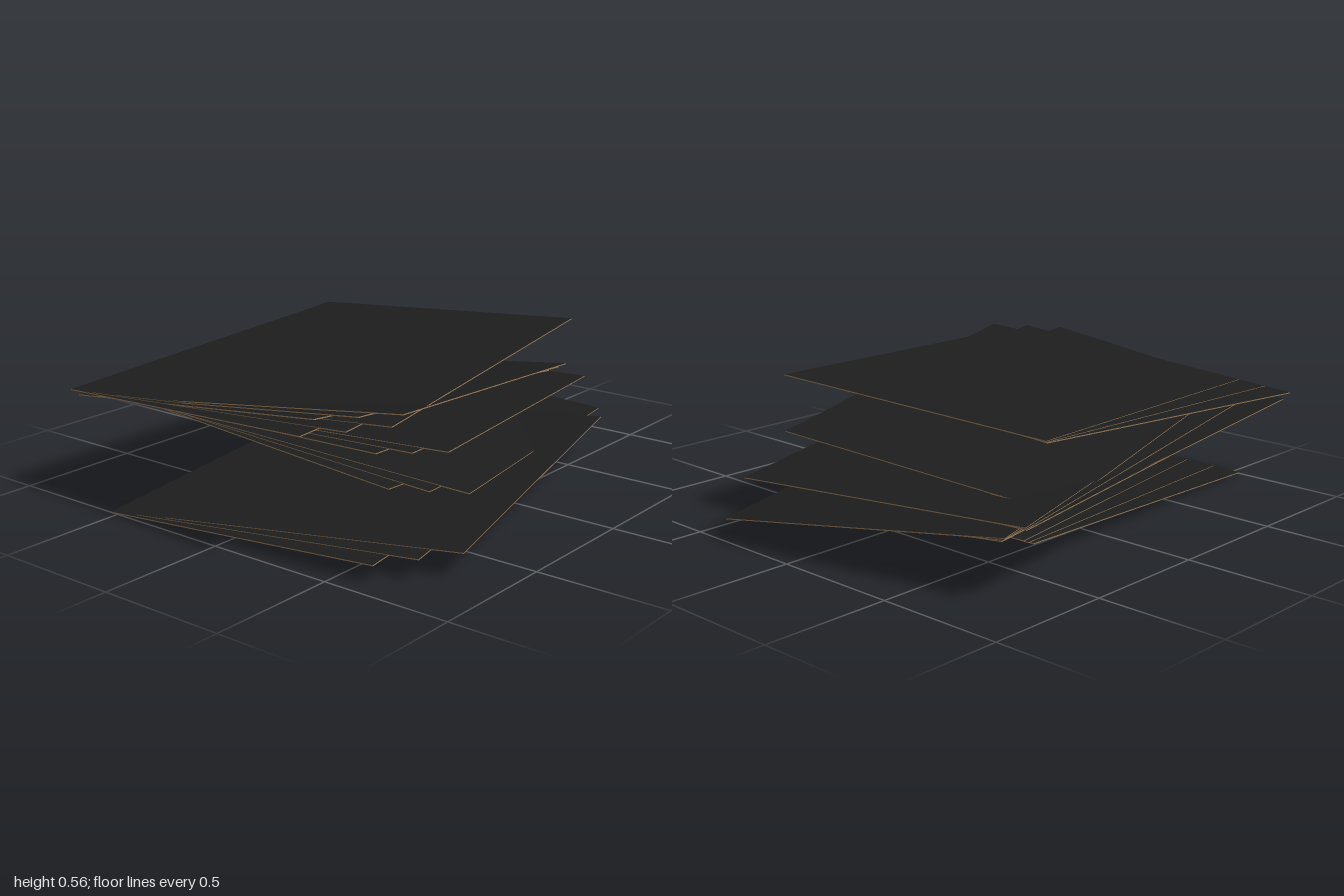
import * as THREE from 'three';

const WIDTH = 1.17, LENGTH = 1.43, THICKNESS = 0.004;

// Each fan: first and last sheet as [x, z, turn in degrees, height at origin],
// and the slope of the fan along x and z.
const SHEETS_PER_FAN = 3;
const FANS = [
  { name: 'bottomFan', from: [-0.005, 0.245, 4.4, 0.087], to: [0.115, 0.13, 12.7, 0.092], slope: [0.047, -0.06] },
  { name: 'secondFan', from: [-0.175, -0.08, 3.4, 0.195], to: [-0.077, -0.175, 12.5, 0.2], slope: [-0.1, 0.078] },
  { name: 'middleFan', from: [-0.21, -0.025, 4.5, 0.292], to: [-0.12, -0.115, 12.2, 0.297], slope: [0, 0.063] },
  { name: 'fourthFan', from: [-0.205, 0.19, 0, 0.378], to: [-0.098, 0.11, 10, 0.385], slope: [0.109, 0.1] },
  { name: 'topFan', from: [-0.2, 0.23, -1.5, 0.497], to: [-0.085, 0.13, 7.8, 0.501], slope: [0.05, -0.055] },
];

export function createModel() {
  const black = new THREE.MeshStandardMaterial({ color: 0x1d1d1d });
  black.name = 'black face';
  const brown = new THREE.MeshStandardMaterial({ color: 0x987a57 });
  brown.name = 'brown backing';
  // Black on the upper face, brown on the edges and underside
  const faces = [brown, brown, black, brown, brown, brown];

  // A thin sheet turned about y and sheared onto a sloping plane
  function sheet([x, z, degrees, height], [sx, sz]) {
    const a = THREE.MathUtils.degToRad(degrees), c = Math.cos(a), s = Math.sin(a);
    const across = new THREE.Vector3(c, sx * c - sz * s, -s);
    const along = new THREE.Vector3(s, sx * s + sz * c, c);
    const up = along.clone().cross(across).normalize();
    const matrix = new THREE.Matrix4().makeBasis(across, up, along);
    matrix.setPosition(x, height + sx * x + sz * z, z);
    const geometry = new THREE.BoxGeometry(WIDTH, THICKNESS, LENGTH).applyMatrix4(matrix);
    return new THREE.Mesh(geometry, faces);
  }

  const model = new THREE.Group();
  model.name = 'sheetPile';
  for (const { name, from, to, slope } of FANS) {
    const group = new THREE.Group();
    group.name = name;
    for (let i = 0; i < SHEETS_PER_FAN; i++) {
      const t = i / (SHEETS_PER_FAN - 1);
      const mesh = sheet(from.map((v, k) => THREE.MathUtils.lerp(v, to[k], t)), slope);
      mesh.name = `sheet${i + 1}`;
      group.add(mesh);
    }
    model.add(group);
  }
  return model;
}
